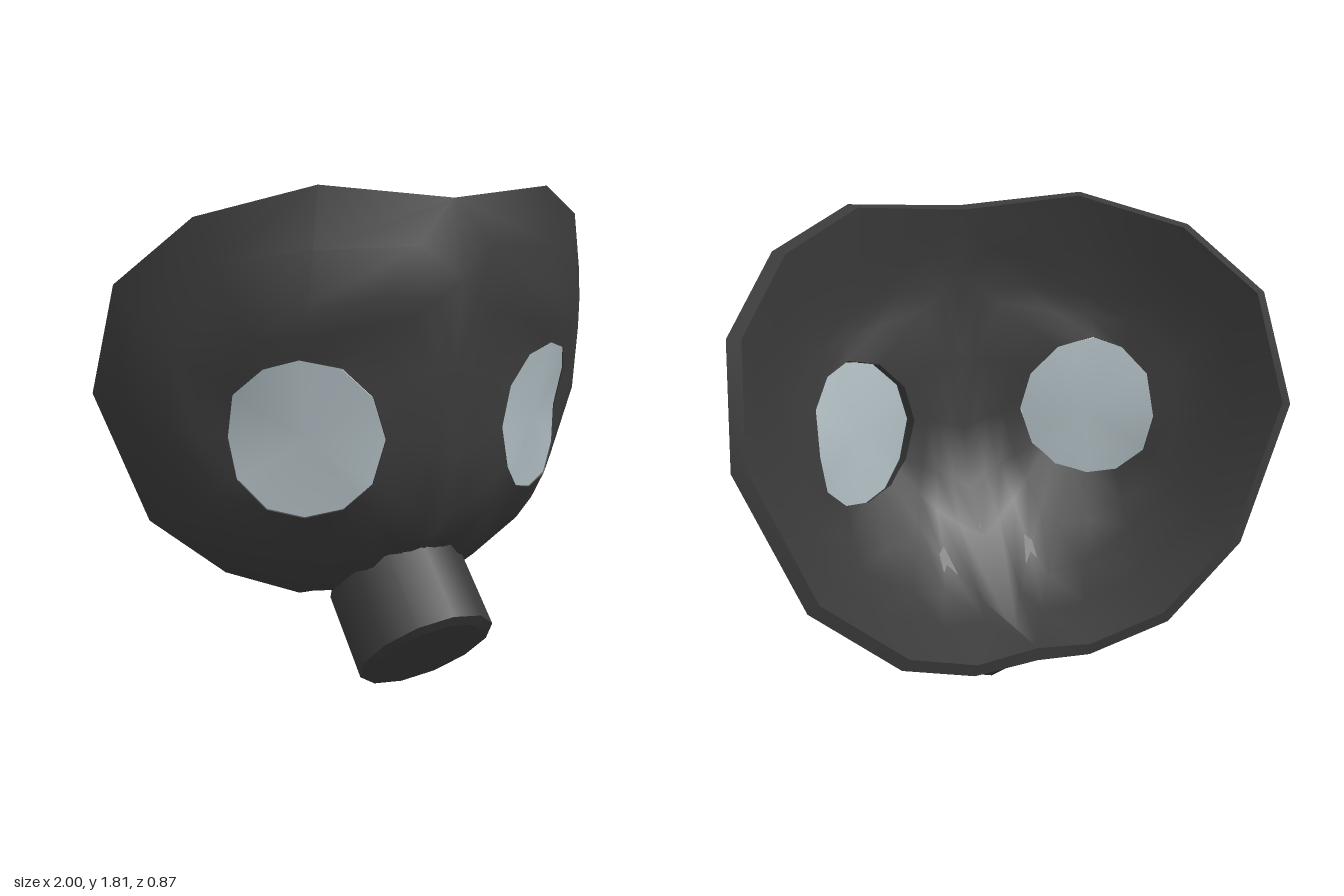
import * as THREE from 'three';
import { mergeVertices } from 'three/addons/utils/BufferGeometryUtils.js';

const rubber = new THREE.MeshStandardMaterial({ name: 'dark rubber', color: 0x3b3b3b, side: THREE.DoubleSide });
const glass = new THREE.MeshStandardMaterial({ name: 'pale glass', color: 0xafbcc1, side: THREE.DoubleSide });

// Spokes round the left eye, clockwise: eye edge, middle, outer border (centre line or rim)
const SPOKES = [
  [.23, 1.00, .34, .11, .97, .385, 0, .93, .40],
  [.27, 1.14, .33, .13, 1.20, .38, 0, 1.22, .405],
  [.37, 1.24, .30, .17, 1.40, .39, 0, 1.52, .43],
  [.435, 1.255, .275, .26, 1.48, .385, 0, 1.78, .38],
  [.50, 1.27, .25, .49, 1.44, .30, .44, 1.82, .28],
  [.60, 1.24, .19, .68, 1.43, .15, .76, 1.72, .03],
  [.67, 1.15, .10, .83, 1.28, -.02, .96, 1.50, -.19],
  [.67, 1.00, .05, .84, 1.04, -.06, 1.0, 1.12, -.35],
  [.65, .86, .07, .74, .74, -.08, .80, .63, -.40],
  [.57, .76, .13, .56, .55, -.03, .50, .38, -.43],
  [.46, .73, .19, .36, .43, -.03, .22, .27, -.37],
  [.405, .745, .225, .22, .39, .01, 0, .31, -.41],
  [.35, .76, .26, .18, .47, .12, 0, .25, -.20],
  [.31, .805, .29, .16, .63, .25, 0, .53, .17],
  [.27, .85, .32, .14, .77, .335, 0, .68, .32],
];
const SEGMENTS = 4;
const THICKNESS = 0.05;

function indexed(positions, index) {
  const g = new THREE.BufferGeometry();
  g.setAttribute('position', new THREE.Float32BufferAttribute(positions, 3));
  g.setIndex(index);
  return g;
}

// Both halves of the outer skin, welded along the centre line
function outerSkin() {
  const pos = [], index = [], row = SEGMENTS + 1, n = SPOKES.length;
  for (const side of [1, -1]) {
    const base = pos.length / 3;
    for (const s of SPOKES) {
      const curve = new THREE.CatmullRomCurve3([0, 3, 6].map(k => new THREE.Vector3().fromArray(s, k)));
      for (let j = 0; j < row; j++) {
        const p = curve.getPoint(j / SEGMENTS);
        pos.push(side * p.x, p.y, p.z);
      }
    }
    for (let i = 0; i < n; i++) for (let j = 0; j < SEGMENTS; j++) {
      const a = base + i * row + j, b = base + ((i + 1) % n) * row + j;
      const tris = [[a, b, a + 1], [b, b + 1, a + 1]];
      for (const t of tris) index.push(...(side > 0 ? t : t.reverse()));
    }
  }
  const skin = mergeVertices(indexed(pos, index), 1e-4);
  skin.computeVertexNormals();
  return skin;
}

// Inner skin, pushed in along the normals
function innerSkin(outer) {
  const p = outer.attributes.position, n = outer.attributes.normal, pos = [];
  for (let i = 0; i < p.count; i++) {
    pos.push(p.getX(i) - THICKNESS * n.getX(i), p.getY(i) - THICKNESS * n.getY(i), p.getZ(i) - THICKNESS * n.getZ(i));
  }
  const g = indexed(pos, [...outer.index.array].reverse());
  g.computeVertexNormals();
  return g;
}

// Walls joining the skins along every open edge: the rim and the eye holes
function edgeWalls(outer, inner) {
  const idx = outer.index.array, edges = new Map(), pos = [];
  for (let t = 0; t < idx.length; t += 3) for (let k = 0; k < 3; k++) {
    const a = idx[t + k], b = idx[t + (k + 1) % 3];
    edges.set(a + '_' + b, [a, b]);
  }
  const put = (g, i) => pos.push(...new THREE.Vector3().fromBufferAttribute(g.attributes.position, i).toArray());
  for (const [a, b] of edges.values()) {
    if (edges.has(b + '_' + a)) continue;
    put(outer, b); put(outer, a); put(inner, a);
    put(outer, b); put(inner, a); put(inner, b);
  }
  const g = new THREE.BufferGeometry();
  g.setAttribute('position', new THREE.Float32BufferAttribute(pos, 3));
  const welded = mergeVertices(g, 1e-4);
  welded.computeVertexNormals();
  return welded;
}

// Lens filling an eye hole, a fan from a slightly raised middle
function lens(side) {
  const pos = [side * .455, 1.0, .21], index = [], n = SPOKES.length;
  SPOKES.forEach((s, i) => {
    pos.push(side * s[0], s[1], s[2] - .005);
    const a = 1 + i, b = 1 + (i + 1) % n;
    index.push(...(side > 0 ? [0, b, a] : [0, a, b]));
  });
  const g = indexed(pos, index);
  g.computeVertexNormals();
  return g;
}

export function createModel() {
  const model = new THREE.Group();
  model.name = 'mask';
  const add = (name, geometry, material) => {
    const mesh = new THREE.Mesh(geometry, material);
    mesh.name = name;
    model.add(mesh);
    return mesh;
  };

  const outer = outerSkin(), inner = innerSkin(outer);
  add('faceOuter', outer, rubber);
  add('faceInner', inner, rubber);
  add('faceEdges', edgeWalls(outer, inner), rubber);
  add('leftLens', lens(1), glass);
  add('rightLens', lens(-1), glass);

  // Filter canister: repeated points keep its edges sharp
  const profile = [[0, 0], [.21, 0], [.21, 0], [.255, .012], [.255, .012], [.255, .34], [.255, .34], [0, .34]];
  const filter = add('filter', new THREE.LatheGeometry(profile.map(p => new THREE.Vector2(...p)), 12), rubber);
  filter.position.set(0, .18, .23);
  filter.rotation.x = -Math.PI / 4;
  return model;
}
